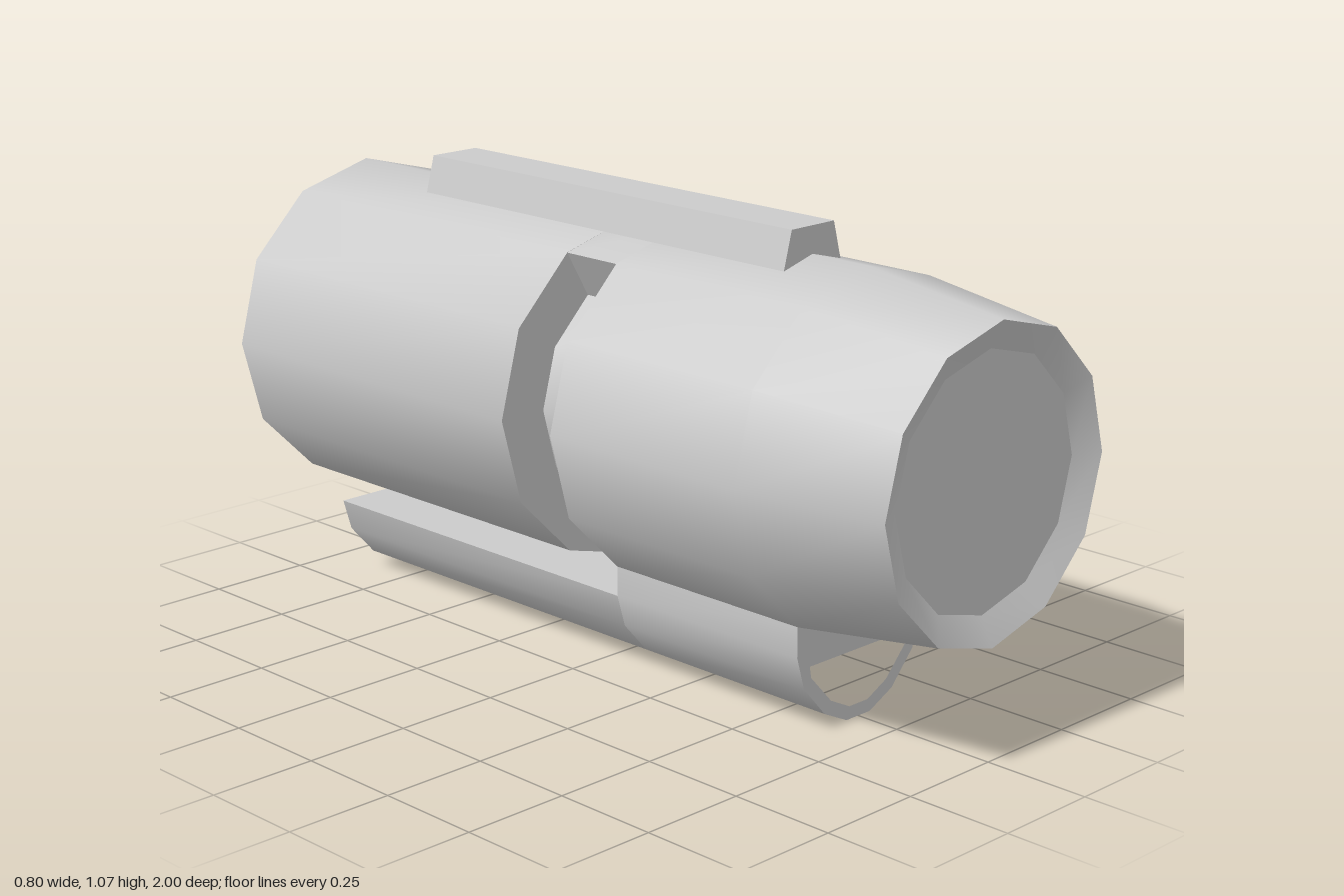
import * as THREE from 'three';
import { toCreasedNormals } from 'three/addons/utils/BufferGeometryUtils.js';

const CREASE = 0.8;
const AXIS_Y = 0.603; // height of the barrel axis
const material = new THREE.MeshStandardMaterial({ color: 0xcccccc });

const v2 = ([x, y]) => new THREE.Vector2(x, y);

// Full outline from its +x half, listed from the top down
const mirrored = (half) => [
  ...half,
  ...half.filter(([x]) => x > 0).reverse().map(([x, y]) => [-x, y]),
].map(v2);

function prism(half, z0, z1, holeHalf) {
  const shape = new THREE.Shape(mirrored(half));
  if (holeHalf) shape.holes.push(new THREE.Path(mirrored(holeHalf)));
  const geo = new THREE.ExtrudeGeometry(shape, { depth: z1 - z0, bevelEnabled: false });
  geo.translate(0, 0, z0);
  return toCreasedNormals(geo, CREASE);
}

export function createModel() {
  const group = new THREE.Group();
  const add = (name, geometry) => {
    const mesh = new THREE.Mesh(geometry, material);
    mesh.name = name;
    group.add(mesh);
    return mesh;
  };

  // Twelve-sided barrel with closed back, slot groove, tapered nose and bevelled rim
  const profile = [
    [0, -1], [0.4, -1], [0.4, -0.06], [0.277, -0.06], [0.277, 0.095],
    [0.4, 0.095], [0.4, 0.64], [0.35, 1], [0.285, 0.97],
  ].map(v2);
  const barrel = new THREE.LatheGeometry(profile, 12);
  barrel.rotateX(Math.PI / 2);
  barrel.translate(0, AXIS_Y, 0);
  add('barrel', toCreasedNormals(barrel, CREASE));

  // Flat plate inside the front rim
  add('frontPlate', new THREE.CircleGeometry(0.285, 12)).position.set(0, AXIS_Y, 0.97);

  // Solid bridge that closes the groove across the top
  add('slotBridge', prism(
    [[0, AXIS_Y + 0.4], [0.2, AXIS_Y + 0.346], [0.1385, AXIS_Y + 0.24], [0, AXIS_Y + 0.27]],
    -0.06, 0.095));

  // Raised rail along the top
  add('topRail', prism([[0.066, 1.065], [0.089, 0.979]], -0.665, 0.485));

  // Rounded trough below: hollow front joined to the barrel, solid rear hanging free
  const keel = [[0.2, 0.187], [0.177, 0.11], [0.11, 0.035], [0.038, 0]];
  const recess = [[0.16, 0.157], [0.155, 0.13], [0.09, 0.06], [0.03, 0.03]];
  add('lowerTubeFront', prism([[0, 0.203], [0.2, 0.256], ...keel], 0.095, 0.64, recess));
  add('lowerTubeRear', prism(keel, -0.88, 0.095));

  return group;
}
